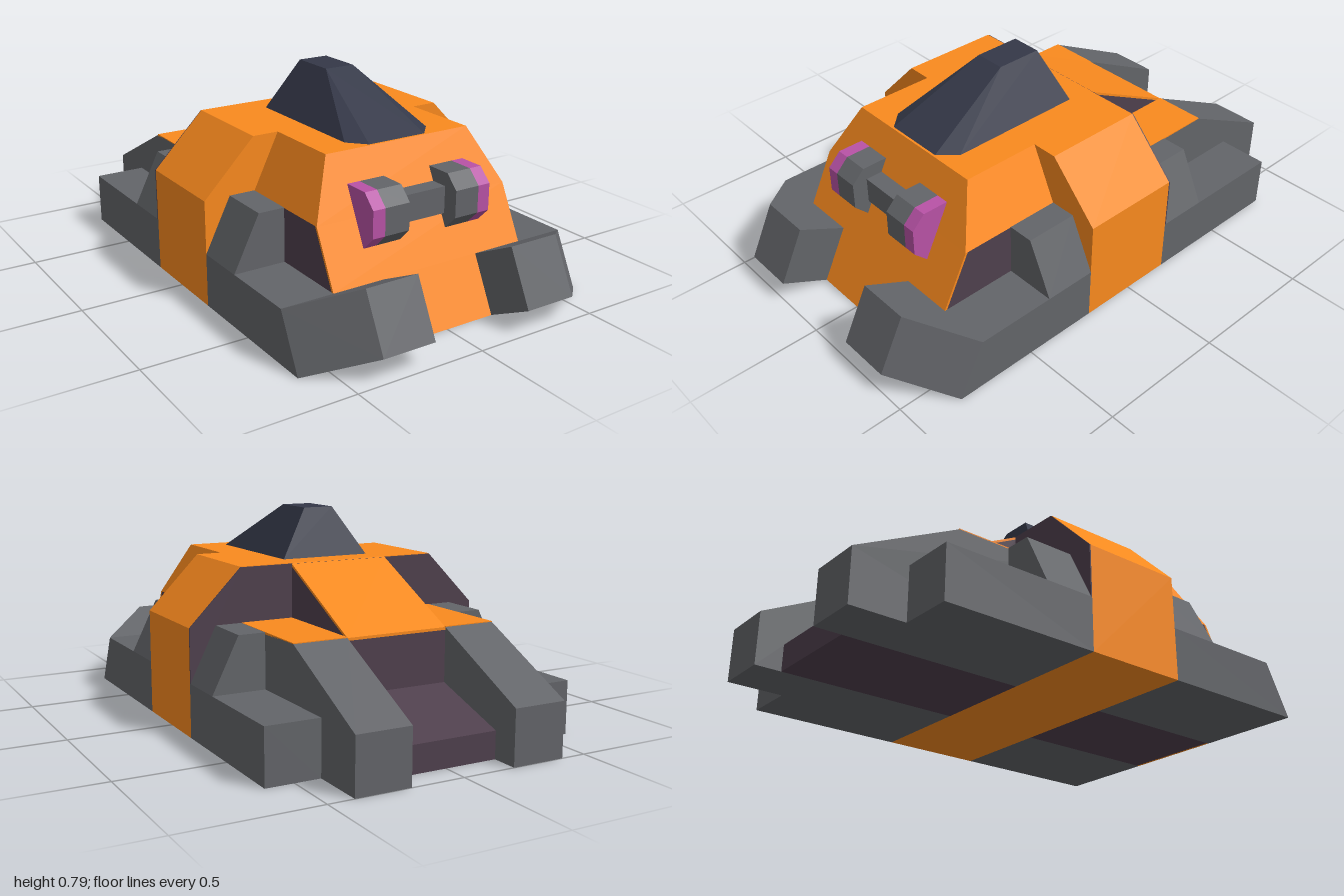
import * as THREE from 'three';
import { ConvexGeometry } from 'three/addons/geometries/ConvexGeometry.js';

const paint = (color) => new THREE.MeshStandardMaterial({ color, flatShading: true });

export function createModel() {
  const model = new THREE.Group();
  const orange = paint(0xfa8a1e), grey = paint(0x636569), plum = paint(0x4f404d);
  const navy = paint(0x343848), pink = paint(0xb852a6);

  // Convex solid from its corners [x, y, z]
  const solid = (name, material, corners) => {
    const mesh = new THREE.Mesh(new ConvexGeometry(corners.map((c) => new THREE.Vector3(...c))), material);
    mesh.name = name;
    model.add(mesh);
  };
  // Side profile of [z, y] points swept from x0 to x1
  const across = (name, material, x0, x1, profile) =>
    solid(name, material, [x0, x1].flatMap((x) => profile.map(([z, y]) => [x, y, z])));
  // Front profile of [x, y] points swept from z0 to z1
  const along = (name, material, z0, z1, profile) =>
    solid(name, material, [z0, z1].flatMap((z) => profile.map(([x, y]) => [x, y, z])));
  const rect = (z0, z1, y0, y1) => [[z0, y0], [z1, y0], [z1, y1], [z0, y1]];

  // Central arch spanning the whole width, with a dark rear wall
  along('centralArch', orange, -0.19, 0.21,
    [[-0.605, 0], [0.605, 0], [0.605, 0.4], [0.405, 0.605], [-0.405, 0.605], [-0.605, 0.4]]);
  along('archRearWall', plum, -0.195, -0.19,
    [[-0.605, 0.2], [0.605, 0.2], [0.605, 0.4], [0.405, 0.603], [-0.405, 0.603], [-0.605, 0.4]]);

  // Front hull: orange upper part, dark core, orange sloping nose plates
  solid('frontUpperHull', orange, [-1, 1].flatMap((s) => [
    [s * 0.305, 0.605, 0.52], [s * 0.305, 0.605, 0.2], [s * 0.405, 0.4, 0.62], [s * 0.405, 0.4, 0.2]]));
  across('frontLowerHull', plum, -0.405, 0.405, [[0.2, 0.2], [0.71, 0.2], [0.61, 0.4], [0.2, 0.4]]);
  across('frontKeel', plum, -0.2, 0.2, [[0.21, 0], [0.81, 0], [0.71, 0.2], [0.21, 0.2]]);
  across('nosePlateUpper', orange, -0.405, 0.405, [[0.71, 0.2], [0.72, 0.2], [0.62, 0.4], [0.61, 0.4]]);
  across('nosePlateLower', orange, -0.2, 0.2, [[0.81, 0], [0.82, 0], [0.72, 0.2], [0.71, 0.2]]);

  // Rear centre: sloping deck over a dark core, then a recessed ramp
  across('rearCore', plum, -0.2, 0.2, [[-0.19, 0], [-0.6, 0], [-0.6, 0.39], [-0.19, 0.595]]);
  across('rearDeck', orange, -0.2, 0.2, [[-0.19, 0.595], [-0.6, 0.39], [-0.6, 0.4], [-0.19, 0.605]]);
  across('rearRamp', plum, -0.2, 0.2, [[-0.6, 0], [-0.9, 0], [-0.9, 0.1], [-0.6, 0.2]]);

  for (const s of [-1, 1]) {
    const side = s > 0 ? 'left' : 'right';
    const a = s * 0.2, b = s * 0.405, c = s * 0.605;

    // Low side slabs in front of and behind the arch
    across(side + 'FrontSlab', grey, a, c, [[0.21, 0], [0.82, 0], [0.72, 0.2], [0.21, 0.2]]);
    across(side + 'RearSlab', grey, b, c, rect(-0.79, -0.19, 0, 0.2));

    // Upturned, chamfered prow
    solid(side + 'Prow', grey, [
      [a, 0, 0.82], [a, 0.2, 0.72], [a, 0.29, 0.9], [a, 0.09, 1],
      [b, 0.29, 0.9], [b, 0.09, 1], [c, 0, 0.82], [c, 0.2, 0.72]]);

    // Rear pod with sloping tail and orange top panel
    across(side + 'RearPod', grey, a, b,
      [[-0.19, 0], [-1, 0], [-1, 0.2], [-0.6, 0.4], [-0.59, 0.397], [-0.19, 0.397]]);
    across(side + 'PodTopPanel', orange, a, b, rect(-0.6, -0.19, 0.395, 0.403));

    // Shoulder blocks against both faces of the arch
    for (const [end, z0, z1] of [['Front', 0.21, 0.415], ['Rear', -0.39, -0.19]]) {
      along(side + end + 'Shoulder', grey, z0, z1, [[b, 0.2], [c, 0.2], [s * 0.505, 0.402], [b, 0.402]]);
    }

    // Octagonal lamp drums with coloured outer caps
    const octagon = [[0.1, 0.05], [0.05, 0.1], [-0.05, 0.1], [-0.1, 0.05],
      [-0.1, -0.05], [-0.05, -0.1], [0.05, -0.1], [0.1, -0.05]].map(([z, y]) => [z + 0.62, y + 0.405]);
    across(side + 'Drum', grey, s * 0.1, a, octagon);
    across(side + 'DrumCap', pink, a, s * 0.25, octagon);
  }

  // Bar joining the drums
  across('drumBar', grey, -0.1, 0.1, rect(0.55, 0.66, 0.355, 0.455));

  // Faceted canopy
  solid('canopy', navy, [-1, 1].flatMap((s) => [
    [s * 0.18, 0.603, -0.09], [s * 0.18, 0.603, 0.45], [s * 0.12, 0.603, 0.515],
    [s * 0.06, 0.79, -0.03], [s * 0.06, 0.79, 0.15]]));

  return model;
}
